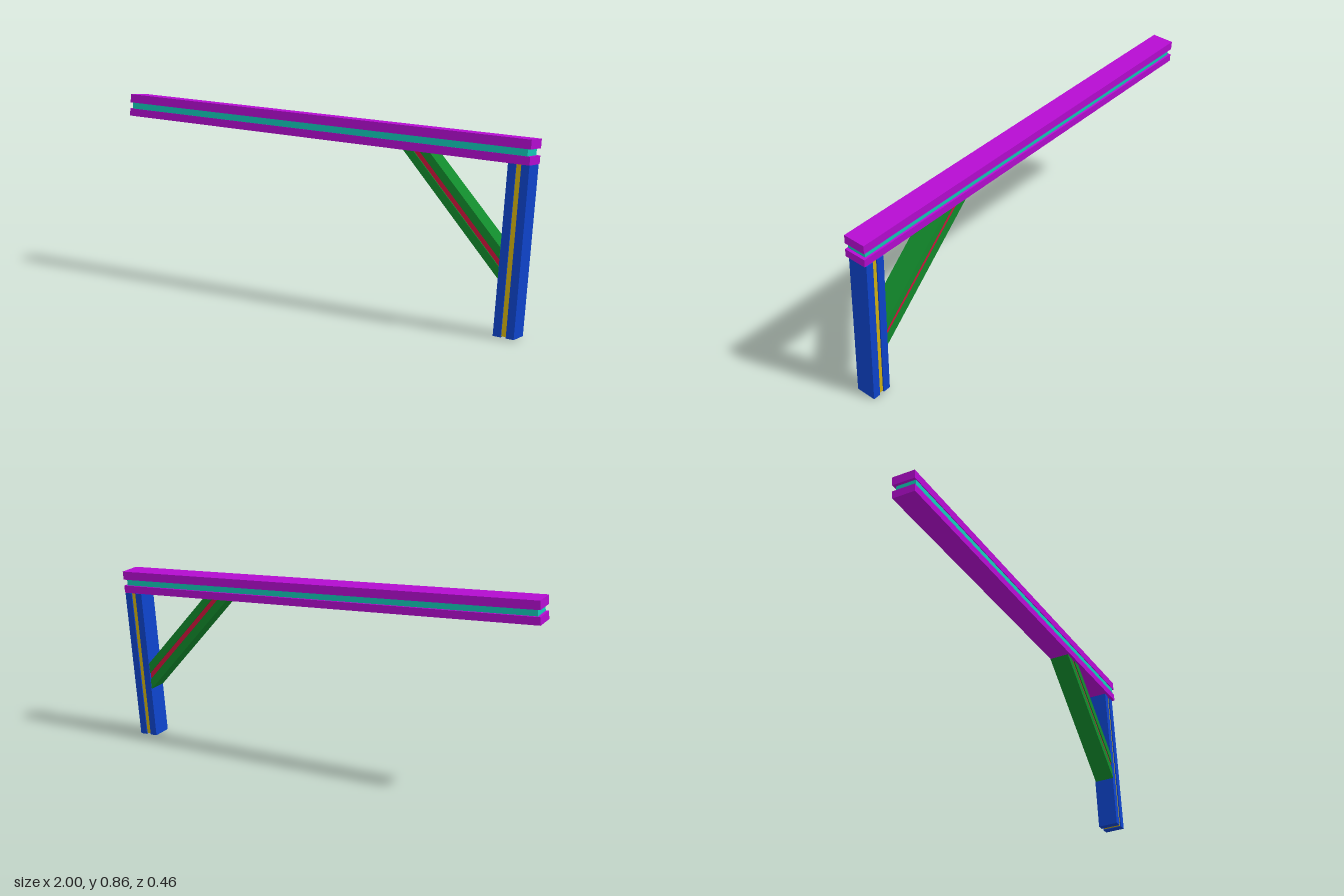
import * as THREE from 'three';

const material = (color) => new THREE.MeshStandardMaterial({ color, flatShading: true });
const purple = material(0xb40cd0), cyan = material(0x12c8b6);
const blue = material(0x0e44cc), yellow = material(0xd2b212);
const green = material(0x128a2c), red = material(0xd0143c);

// Plank with a four-cornered outline in the frame's plane, centred at depth z
function plank(name, points, depth, z, mat) {
  const shape = new THREE.Shape(points.map(([x, y]) => new THREE.Vector2(x, y)));
  const geo = new THREE.ExtrudeGeometry(shape, { depth, bevelEnabled: false });
  geo.translate(0, 0, z - depth / 2);
  const mesh = new THREE.Mesh(geo, mat);
  mesh.name = name;
  return mesh;
}

const rect = (x0, x1, y0, y1) => [[x0, y0], [x1, y0], [x1, y1], [x0, y1]];

export function createModel() {
  const model = new THREE.Group();
  model.name = 'bracedPostAndBeam';

  // Whole frame is turned and leans slightly
  const frame = new THREE.Group();
  frame.name = 'leaningFrame';
  const u = new THREE.Vector3(1.98, -0.068, -0.35).normalize();
  const w = new THREE.Vector3(0.176, 0.069, 0.981);
  const v = w.clone().cross(u).normalize();
  w.crossVectors(u, v);
  frame.quaternion.setFromRotationMatrix(new THREE.Matrix4().makeBasis(u, v, w));
  frame.position.set(-0.002, 0.778, 0.003);
  model.add(frame);

  // Beam: two flanges with a slightly recessed web between
  frame.add(
    plank('beamTopFlange', rect(-1.005, 1.005, 0.012, 0.05), 0.1, 0, purple),
    plank('beamBottomFlange', rect(-1.005, 1.005, -0.05, -0.016), 0.1, 0, purple),
    plank('beamWeb', rect(-0.992, 0.992, -0.016, 0.012), 0.088, 0.003, cyan)
  );

  // Post: two boards with a recessed core
  frame.add(
    plank('postInnerBoard', rect(0.91, 0.944, -0.742, -0.05), 0.091, -0.008, blue),
    plank('postOuterBoard', rect(0.966, 1.0, -0.742, -0.05), 0.091, -0.008, blue),
    plank('postCore', rect(0.944, 0.966, -0.738, -0.05), 0.08, -0.008, yellow)
  );

  // Diagonal brace, mitred against the post and the beam; t runs from lower to upper edge
  const strip = (t0, t1) => {
    const onPost = (t) => [0.91, -0.51 + 0.125 * t];
    const onBeam = (t) => [0.445 + 0.125 * t, -0.05];
    return [onPost(t0), onPost(t1), onBeam(t1), onBeam(t0)];
  };
  frame.add(
    plank('braceLowerBoard', strip(0, 0.38), 0.09, -0.006, green),
    plank('braceUpperBoard', strip(0.62, 1), 0.09, -0.006, green),
    plank('braceCore', strip(0.38, 0.62), 0.08, -0.006, red)
  );

  return model;
}
